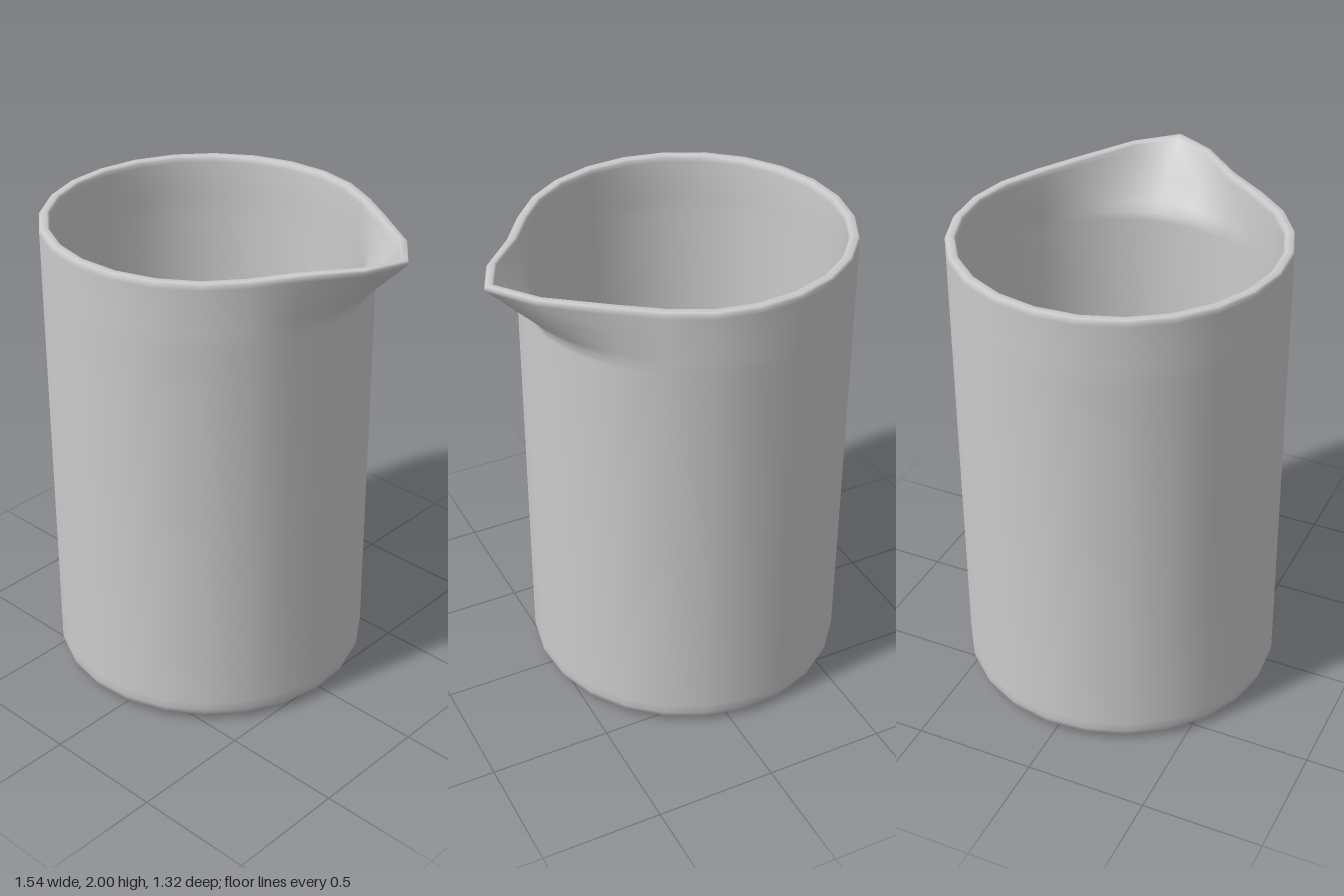
import * as THREE from 'three';

const SIDES = 24;
const CENTRE_X = -0.11;

// Spout columns, keyed by side index: [angle in degrees, outward bulge, lift]
const SPOUT = {
  20: [-56, 0.0, 0.002],
  21: [-40, 0.03, 0.008],
  22: [-21, 0.145, 0.018],
  23: [-8.4, 0.23, 0.025],
  0: [2.1, 0.15, 0.018],
  1: [17, 0.03, 0.008],
  2: [33.5, 0.0, 0.002],
};

// Cross-section rings from the underside, over the rim, to the inner floor:
// [radius, height, spout amount, lift amount]
const RINGS = [
  [0, 0, 0, 0], [0.58, 0, 0, 0], [0.6, 0, 0, 0], [0.63, 0.008, 0, 0], [0.652, 0.028, 0, 0],
  [0.66, 0.055, 0, 0], [0.66, 0.09, 0, 0], [0.66, 1.0, 0, 0], [0.66, 1.72, 0, 0],
  [0.66, 1.755, 0.03, 0], [0.66, 1.79, 0.15, 0], [0.66, 1.87, 0.52, 0.2],
  [0.66, 1.95, 0.94, 0.9], [0.66, 1.965, 1, 1], [0.653, 1.975, 1, 1],
  [0.627, 1.975, 1, 1], [0.619, 1.967, 1, 1], [0.617, 1.95, 0.95, 0.9],
  [0.615, 1.87, 0.55, 0.2], [0.615, 1.79, 0.17, 0], [0.615, 1.755, 0.04, 0],
  [0.615, 1.72, 0, 0], [0.615, 1.0, 0, 0], [0.615, 0.08, 0, 0], [0.605, 0.06, 0, 0],
  [0.58, 0.058, 0, 0], [0.4, 0.085, 0, 0], [0.2, 0.1, 0, 0], [0, 0.105, 0, 0],
];

function beakerGeometry() {
  const positions = [], index = [];
  for (const [r, y, s, l] of RINGS) {
    for (let i = 0; i < SIDES; i++) {
      const plain = 3.5 + (i * 360) / SIDES;
      const [angle, bulge, lift] = SPOUT[i] || [plain, 0, 0];
      // Turn columns toward the spout only as far as the spout has formed
      const turn = ((angle - plain + 540) % 360) - 180;
      const a = THREE.MathUtils.degToRad(plain + turn * s);
      const radius = r + bulge * s;
      positions.push(CENTRE_X + radius * Math.cos(a), y + lift * l, radius * Math.sin(a));
    }
  }
  for (let j = 0; j < RINGS.length - 1; j++) {
    for (let i = 0; i < SIDES; i++) {
      const a = j * SIDES + i, b = j * SIDES + ((i + 1) % SIDES);
      const c = a + SIDES, d = b + SIDES;
      if (RINGS[j + 1][0] > 0) index.push(a, c, d);
      if (RINGS[j][0] > 0) index.push(a, d, b);
      else index.push();
    }
  }
  const geometry = new THREE.BufferGeometry();
  geometry.setAttribute('position', new THREE.Float32BufferAttribute(positions, 3));
  geometry.setIndex(index);
  geometry.computeVertexNormals();
  return geometry;
}

export function createModel() {
  const group = new THREE.Group();
  group.name = 'beaker';
  const material = new THREE.MeshStandardMaterial({ color: 0xcccccc, side: THREE.DoubleSide });
  const body = new THREE.Mesh(beakerGeometry(), material);
  body.name = 'beakerBodyWithSpout';
  group.add(body);
  return group;
}
